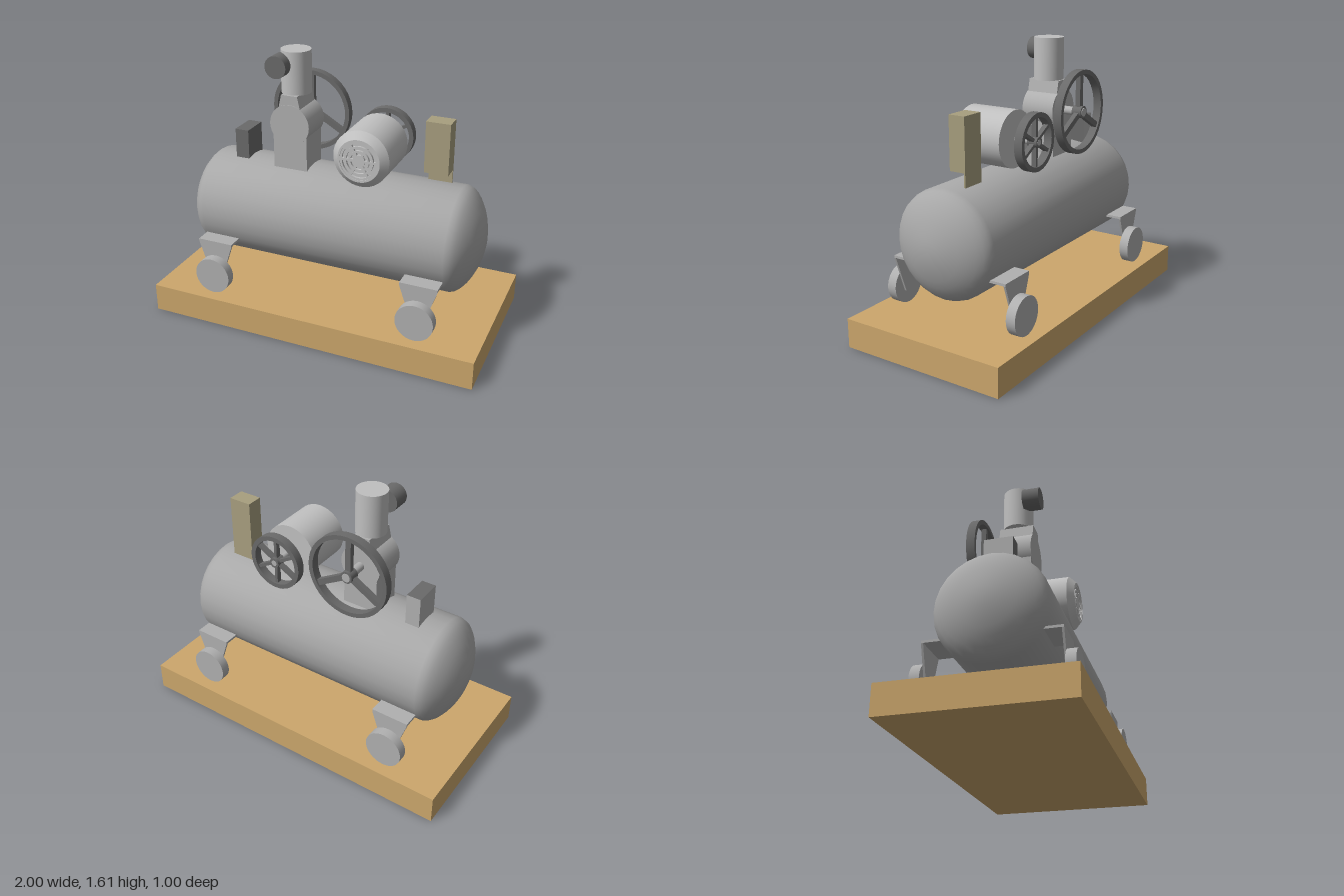
import * as THREE from 'three';
import { toCreasedNormals } from 'three/addons/utils/BufferGeometryUtils.js';

const material = (name, color) => {
  const m = new THREE.MeshStandardMaterial({ color });
  m.name = name;
  return m;
};

export function createModel() {
  const root = new THREE.Group();
  root.name = 'airCompressor';
  const wood = material('wood', 0xcca76c);
  const tankGrey = material('tankGrey', 0xa8a8a8);
  const metal = material('metal', 0xb0b0b0);
  const motorGrey = material('motorGrey', 0xc0c0c0);
  const dark = material('darkGrey', 0x6a6a6a);
  const olive = material('olive', 0xa89f7f);

  const add = (name, geo, mat, x = 0, y = 0, z = 0, parent = root) => {
    const mesh = new THREE.Mesh(geo, mat);
    mesh.name = name;
    mesh.position.set(x, y, z);
    parent.add(mesh);
    return mesh;
  };
  const box = (w, h, d) => new THREE.BoxGeometry(w, h, d);
  const cylZ = (r, d, n = 32) => new THREE.CylinderGeometry(r, r, d, n).rotateX(Math.PI / 2);
  const lathe = (pts, n) =>
    new THREE.LatheGeometry(pts.map(([r, y]) => new THREE.Vector2(r, y)), n);
  const extrude = (shape, depth) => new THREE.ExtrudeGeometry(shape, {
    depth, bevelEnabled: false, curveSegments: 20,
  }).translate(0, 0, -depth / 2);
  const polygon = (pts) => new THREE.Shape(pts.map(([x, y]) => new THREE.Vector2(x, y)));

  // Wooden base
  add('base', box(2, 0.17, 1), wood, 0, 0.085, 0);

  // Horizontal tank with domed ends
  const dome = [[0, 0.9], [0.06, 0.896], [0.11, 0.885], [0.165, 0.868], [0.21, 0.848],
    [0.25, 0.824], [0.28, 0.8], [0.3, 0.775], [0.31, 0.745]];
  const profile = [...dome.map(([r, x]) => [r, -x]), ...[...dome].reverse()];
  add('tank', toCreasedNormals(lathe(profile, 28).rotateZ(-Math.PI / 2), 0.6),
    tankGrey, 0, 0.622, 0);

  // Four wheels on angled brackets
  const bracket = polygon([[-0.11, 0.485], [-0.11, 0.47], [-0.035, 0.25],
    [0.035, 0.25], [0.11, 0.47], [0.11, 0.485]]);
  for (const x of [-0.635, 0.635]) {
    for (const s of [-1, 1]) {
      add('bracketShelf', box(0.22, 0.014, 0.11), metal, x, 0.478, s * 0.315);
      add('bracketPlate', extrude(bracket, 0.012), metal, x, 0, s * 0.366);
      add('wheel', cylZ(0.111, 0.056), metal, x, 0.281, s * 0.4);
    }
  }

  // Pump: crankcase, neck and cylinder
  const px = -0.257;
  const py = 1.185;
  add('crankcaseBlock', box(0.21, 0.27, 0.2), metal, px, 1.05, 0);
  add('crankcase', cylZ(0.123, 0.208), metal, px, py, 0);
  const neck = polygon([[-0.075, 1.25], [0.075, 1.25], [0.05, 1.362], [-0.05, 1.362]]);
  add('neck', extrude(neck, 0.2), metal, px, 0, 0);
  add('cylinder', new THREE.CylinderGeometry(0.088, 0.088, 0.25, 32), motorGrey, px, 1.485, -0.003);
  add('airFilter', cylZ(0.065, 0.1), dark, -0.315, 1.532, 0.098);

  // Spoked wheel: rim, hub and evenly spaced spokes
  const spokedWheel = (name, x, y, outer, inner, hub, spokes, width) => {
    const group = new THREE.Group();
    group.name = name;
    group.position.set(x, y, -0.213);
    root.add(group);
    const rim = new THREE.Shape().absarc(0, 0, outer, 0, Math.PI * 2, false);
    rim.holes.push(new THREE.Path().absarc(0, 0, inner, 0, Math.PI * 2, true));
    add('rim', toCreasedNormals(extrude(rim, 0.05), 0.6), dark, 0, 0, 0, group);
    add('hub', cylZ(hub, 0.06, 20), dark, 0, 0, 0, group);
    for (let i = 0; i < spokes; i++) {
      const spoke = box(width, inner + 0.005, 0.03).translate(0, inner / 2, 0);
      add('spoke', spoke, dark, 0, 0, 0, group).rotation.z = (i * Math.PI * 2) / spokes;
    }
  };
  spokedWheel('flywheel', px, py, 0.248, 0.222, 0.036, 3, 0.034);
  add('pumpShaft', cylZ(0.025, 0.16, 20), metal, px, py, -0.167);

  // Motor body with a chamfered, recessed front
  const mx = 0.227;
  const my = 1.1;
  const body = lathe([[0, -0.09], [0.165, -0.09], [0.165, 0.207], [0.124, 0.246],
    [0.112, 0.246], [0.112, 0.225], [0, 0.225]], 36).rotateX(Math.PI / 2);
  add('motorBody', toCreasedNormals(body, 0.5), motorGrey, mx, my, 0);

  // Front grille with three rings of six slots
  const grille = new THREE.Shape().absarc(0, 0, 0.113, 0, Math.PI * 2, false);
  for (const r of [0.035, 0.06, 0.085]) {
    for (let i = 0; i < 6; i++) {
      const gap = 0.006 / r;
      const a = (i * Math.PI) / 3 + gap;
      const b = ((i + 1) * Math.PI) / 3 - gap;
      const slot = new THREE.Path();
      slot.absarc(0, 0, r + 0.014, a, b, false);
      slot.absarc(0, 0, r, b, a, true);
      slot.closePath();
      grille.holes.push(slot);
    }
  }
  add('motorGrille', extrude(grille, 0.014), motorGrey, mx, my, 0.235);
  spokedWheel('motorPulley', mx, my, 0.165, 0.138, 0.03, 6, 0.018);
  add('motorShaft', cylZ(0.017, 0.16, 16), metal, mx, my, -0.164);

  // Pressure switch: dark cover, plain metal on the back and outer side
  add('pressureSwitch', box(0.085, 0.19, 0.165), [dark, metal, dark, dark, dark, metal],
    -0.587, 1.005, -0.008);

  // Control box on a thin mounting plate
  add('controlBox', box(0.14, 0.3, 0.1), olive, 0.6, 1.152, -0.023);
  add('controlBoxPlate', box(0.14, 0.13, 0.009), olive, 0.6, 0.965, -0.0685);

  return root;
}
